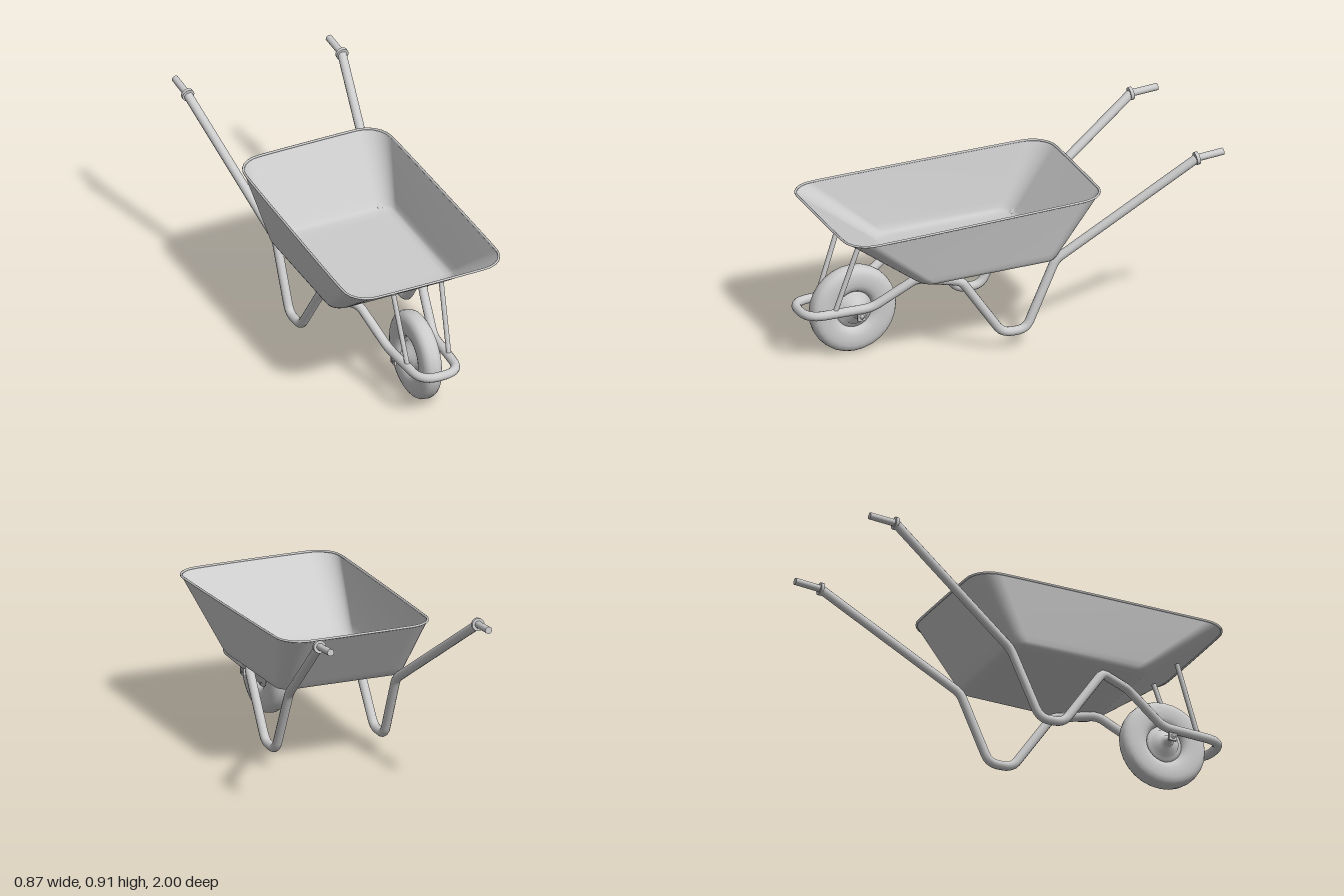
import * as THREE from 'three';

const V = (x, y, z) => new THREE.Vector3(x, y, z);
const grey = new THREE.MeshStandardMaterial({ color: 0xcccccc });
const greyThin = new THREE.MeshStandardMaterial({ color: 0xcccccc, side: THREE.DoubleSide });

function part(name, geometry, material = grey) {
  const mesh = new THREE.Mesh(geometry, material);
  mesh.name = name;
  return mesh;
}

// Straight runs joined by rounded bends; each point is [x, y, z, bend length]
function bentPath(points) {
  const path = new THREE.CurvePath();
  let last = V(...points[0]);
  for (let i = 1; i < points.length - 1; i++) {
    const p = V(...points[i]), a = V(...points[i - 1]), b = V(...points[i + 1]);
    const bend = (q) => p.clone().lerp(q, Math.min((points[i][3] ?? 0.03) / p.distanceTo(q), 0.49));
    const start = bend(a), end = bend(b);
    path.add(new THREE.LineCurve3(last, start));
    path.add(new THREE.QuadraticBezierCurve3(start, p, end));
    last = end;
  }
  path.add(new THREE.LineCurve3(last, V(...points.at(-1))));
  return path;
}

function rod(name, a, b, radius, radius2 = radius) {
  const dir = b.clone().sub(a);
  const mesh = part(name, new THREE.CylinderGeometry(radius2, radius, dir.length(), 14));
  mesh.position.copy(a).add(b).multiplyScalar(0.5);
  mesh.quaternion.setFromUnitVectors(V(0, 1, 0), dir.normalize());
  return mesh;
}

// Rounded, tapered rectangle whose height slopes from front to back
function trayRing({ zf, zb, xf, xb, r, yf, yb }) {
  const corners = [V(xf, 0, zf), V(xb, 0, zb), V(-xb, 0, zb), V(-xf, 0, zf)];
  const ring = [];
  corners.forEach((c, i) => {
    const toward = (q) => c.clone().add(q.clone().sub(c).setLength(r));
    const a = toward(corners[(i + 3) % 4]), b = toward(corners[(i + 1) % 4]);
    const o = a.clone().add(b).sub(c);
    for (let k = 0; k <= 8; k++) {
      const t = (k / 8) * Math.PI / 2;
      const p = o.clone().addScaledVector(a.clone().sub(o), Math.cos(t))
        .addScaledVector(b.clone().sub(o), Math.sin(t));
      p.y = yb + (yf - yb) * (p.z - zb) / (zf - zb);
      ring.push(p);
    }
  });
  return ring;
}

function createTray() {
  const tray = new THREE.Group();
  tray.name = 'tray';
  const rim = trayRing({ zf: 0.87, zb: -0.425, xf: 0.403, xb: 0.378, r: 0.12, yf: 0.7, yb: 0.746 });
  const foot = trayRing({ zf: 0.51, zb: -0.22, xf: 0.328, xb: 0.325, r: 0.075, yf: 0.436, yb: 0.452 });
  const bend = trayRing({ zf: 0.482, zb: -0.206, xf: 0.317, xb: 0.316, r: 0.065, yf: 0.418, yb: 0.437 });
  const floor = trayRing({ zf: 0.445, zb: -0.18, xf: 0.29, xb: 0.292, r: 0.05, yf: 0.412, yb: 0.43 });
  const mix = (a, b, t) => a.map((p, i) => p.clone().lerp(b[i], t));
  const middle = V(0, 0.421, 0.13);
  const rings = [rim, mix(rim, foot, 0.5), mix(rim, foot, 0.9), foot, bend, floor,
    floor.map((p) => p.clone().lerp(middle, 0.15)), floor.map(() => middle)];
  const n = rim.length, index = [];
  for (let j = 0; j < rings.length - 1; j++) {
    for (let i = 0; i < n; i++) {
      const a = j * n + i, b = j * n + (i + 1) % n;
      index.push(a, a + n, b);
      if (j < rings.length - 2) index.push(b, a + n, b + n);
    }
  }
  const shell = new THREE.BufferGeometry().setFromPoints(rings.flat());
  shell.setIndex(index);
  shell.computeVertexNormals();
  tray.add(part('trayShell', shell, greyThin));

  // Thin rolled edge
  const edge = new THREE.CatmullRomCurve3(rim, true);
  tray.add(part('trayRim', new THREE.TubeGeometry(edge, 120, 0.006, 6, true)));
  return tray;
}

function createWheel() {
  const wheel = new THREE.Group();
  wheel.name = 'wheel';
  // Tyre with a rounded-square section
  const tyre = [];
  const soft = (v) => Math.sign(v) * Math.abs(v) ** 0.8;
  for (let i = 0; i <= 20; i++) {
    const t = (i / 20) * Math.PI * 2;
    tyre.push(new THREE.Vector2(0.151 + 0.065 * soft(Math.cos(t)), 0.05 * soft(Math.sin(t))));
  }
  wheel.add(part('tyre', new THREE.LatheGeometry(tyre, 28)));
  // Dished disc, hub and axle as one turned profile
  const half = [[0.1, 0.022], [0.075, 0.02], [0.066, 0.042], [0.035, 0.05], [0.028, 0.07], [0.012, 0.074], [0.012, 0.122], [0, 0.122]];
  const profile = [...half.map(([r, h]) => new THREE.Vector2(r, -h)).reverse(),
    ...half.map(([r, h]) => new THREE.Vector2(r, h))];
  wheel.add(part('hubAndAxle', new THREE.LatheGeometry(profile, 24)));
  wheel.rotation.z = Math.PI / 2;
  wheel.position.set(0, 0.219, 0.71);
  return wheel;
}

export function createModel() {
  const model = new THREE.Group();
  model.name = 'wheelbarrow';
  model.add(createTray(), createWheel());

  // One continuous tube: handle, leg, front loop, leg, handle
  const side = [
    [0.403, 0.878, -0.865],
    [0.272, 0.42, -0.205],
    [0.276, 0.093, -0.055, 0.045],
    [0.276, 0.093, 0.065, 0.045],
    [0.272, 0.39, 0.27, 0.025],
    [0.165, 0.39, 0.455],
    [0.118, 0.258, 0.66, 0.04],
    [0.102, 0.248, 0.978, 0.09],
  ];
  const mirrored = side.map(([x, ...rest]) => [-x, ...rest]).reverse();
  model.add(part('frame', new THREE.TubeGeometry(bentPath([...side, ...mirrored]), 260, 0.022, 12)));

  for (const s of [1, -1]) {
    // Grip with a collar
    model.add(rod('gripCollar', V(s * 0.403, 0.878, -0.858), V(s * 0.403, 0.88, -0.874), 0.031));
    model.add(rod('grip', V(s * 0.403, 0.88, -0.865), V(s * 0.402, 0.892, -1), 0.017));
    // Strut from the loop to the tray's front wall
    model.add(rod('trayStrut', V(s * 0.108, 0.255, 0.843), V(s * 0.125, 0.592, 0.728), 0.012));
    // Plate holding the axle under the frame
    const bracket = part('axleBracket', new THREE.BoxGeometry(0.012, 0.06, 0.04));
    bracket.position.set(s * 0.115, 0.228, 0.71);
    model.add(bracket);
  }
  return model;
}
